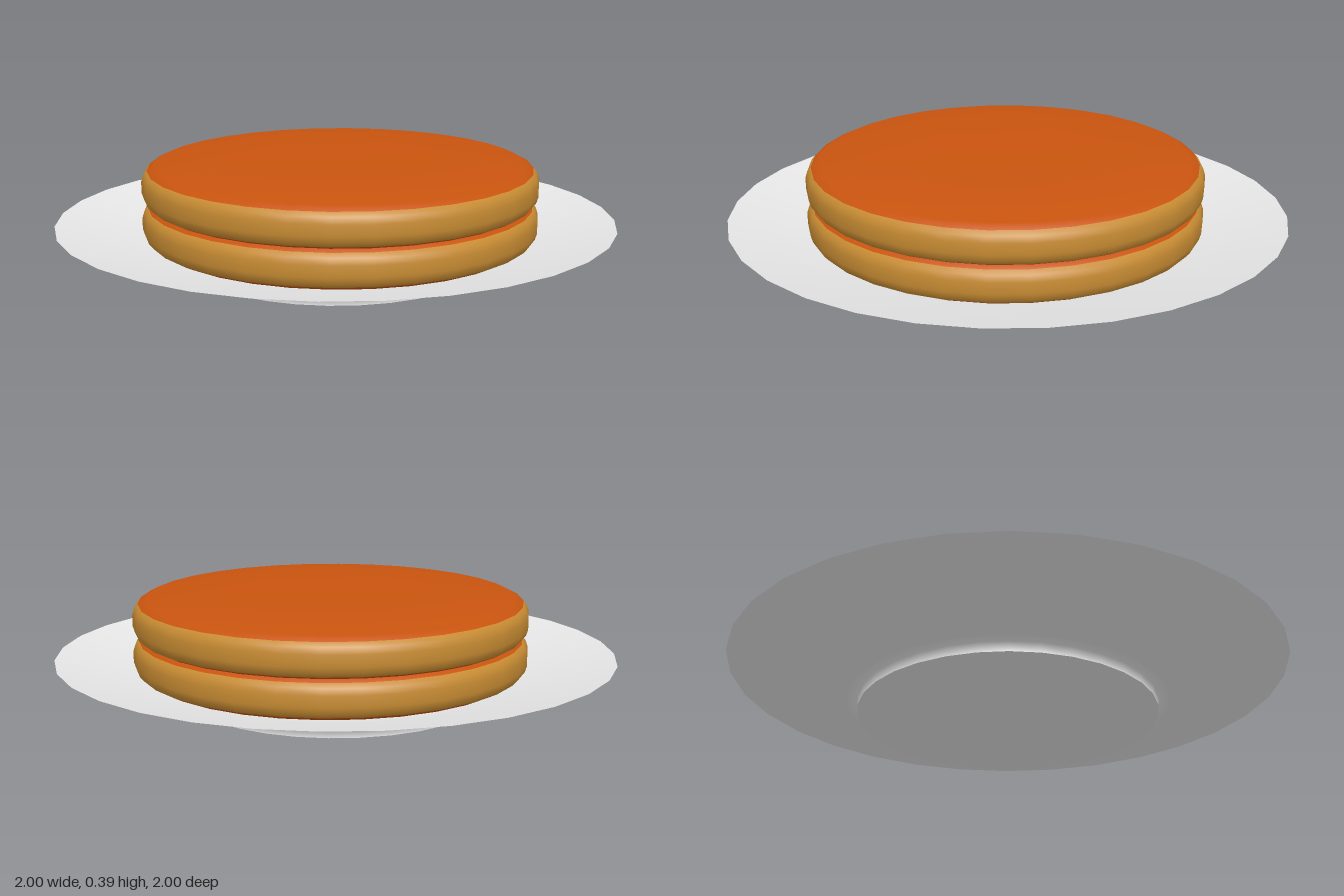
import * as THREE from 'three';

const SEGMENTS = 32;

function lathe(profile) {
  return new THREE.LatheGeometry(profile.map(([r, y]) => new THREE.Vector2(r, y)), SEGMENTS);
}

// One pancake profile, mirrored about its middle: [radius, height]
const UPPER = [[0.708, 0.02], [0.701, 0.042], [0.688, 0.057], [0.66, 0.071], [0.49, 0.084], [0.33, 0.088], [0, 0.089]];
const PANCAKE = [...UPPER.map(([r, y]) => [r, -y]).reverse(), ...UPPER];
const FACE_STRIPS = 4; // strips browned at the bottom and at the top

function pancakeGeometry() {
  const geometry = lathe(PANCAKE);
  const strips = PANCAKE.length - 1;
  // Browned face, golden side, browned face along every slice
  for (let i = 0; i < SEGMENTS; i++) {
    const start = i * strips * 6;
    geometry.addGroup(start, FACE_STRIPS * 6, 0);
    geometry.addGroup(start + FACE_STRIPS * 6, (strips - 2 * FACE_STRIPS) * 6, 1);
    geometry.addGroup(start + (strips - FACE_STRIPS) * 6, FACE_STRIPS * 6, 0);
  }
  return geometry;
}

export function createModel() {
  const model = new THREE.Group();
  model.name = 'pancakesOnPlate';

  const porcelain = new THREE.MeshStandardMaterial({ color: 0xe6e6e6 });
  porcelain.name = 'white porcelain';
  const browned = new THREE.MeshStandardMaterial({ color: 0xc9540f });
  browned.name = 'browned face';
  const golden = new THREE.MeshStandardMaterial({ color: 0xc88c33 });
  golden.name = 'golden side';

  const add = (name, geometry, material, parent) => {
    const mesh = new THREE.Mesh(geometry, material);
    mesh.name = name;
    parent.add(mesh);
    return mesh;
  };

  // Plate: flat foot, foot wall with flared underside, dished top
  const plate = new THREE.Group();
  plate.name = 'plate';
  model.add(plate);
  add('plateFoot', lathe([[0, 0], [0.535, 0]]), porcelain, plate);
  add('plateUnderside', lathe([[0.535, 0], [0.535, 0.036], [0.58, 0.042], [1, 0.165]]), porcelain, plate);
  add('plateTop', lathe([[1, 0.165], [0.62, 0.076], [0.53, 0.066], [0, 0.066]]), porcelain, plate);

  // Two stacked pancakes, slightly off centre
  const geometry = pancakeGeometry();
  [['lowerPancake', 0.168], ['upperPancake', 0.299]].forEach(([name, y]) => {
    add(name, geometry, [browned, golden], model).position.set(0.018, y, -0.003);
  });

  return model;
}
